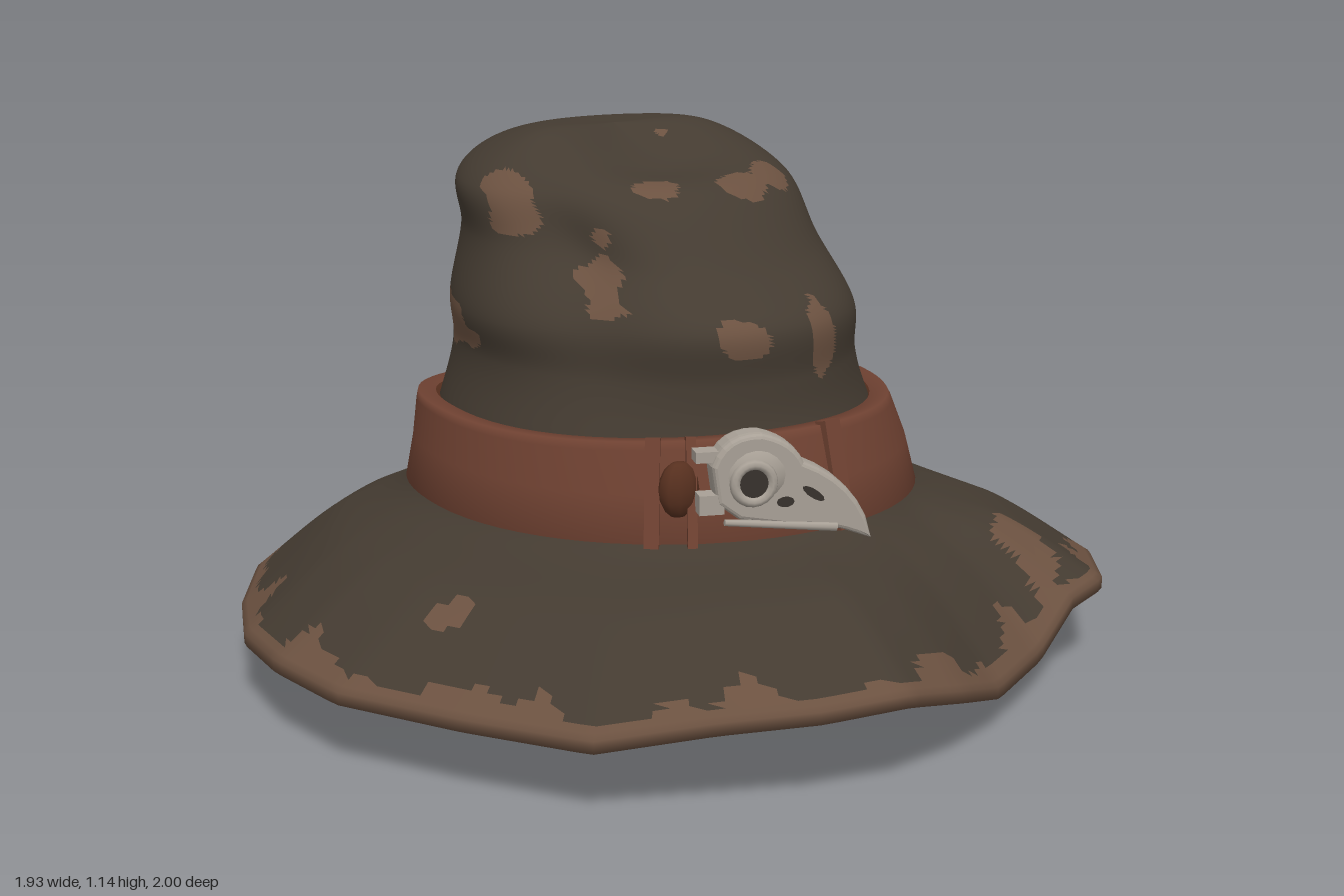
import * as THREE from 'three';

const mat = (name, color, side = THREE.FrontSide) => {
  const m = new THREE.MeshStandardMaterial({ color, side });
  m.name = name;
  return m;
};

// Lower edge of the brim, clockwise seen from above, starting at the front tip
const RIM = [
  [-0.1, 0.19, 1.0], [0.08, 0.14, 0.94], [0.25, 0.08, 0.845], [0.45, 0.085, 0.74], [0.58, 0.16, 0.69],
  [0.7, 0.17, 0.65], [0.89, 0.13, 0.4], [0.95, 0.06, 0.1], [0.96, 0.03, 0], [0.95, 0.01, -0.2],
  [0.88, 0, -0.43], [0.74, 0.02, -0.67], [0.5, 0.07, -0.87], [0.28, 0.09, -0.97], [0.13, 0.1, -1],
  [0, 0.1, -1], [-0.2, 0.05, -0.92], [-0.4, 0.06, -0.85], [-0.55, 0.09, -0.75], [-0.72, 0.1, -0.6],
  [-0.85, 0.1, -0.38], [-0.94, 0.12, -0.15], [-0.97, 0.14, 0.08], [-0.94, 0.14, 0.3], [-0.8, 0.14, 0.55],
  [-0.65, 0.14, 0.77], [-0.45, 0.17, 0.88], [-0.27, 0.18, 0.96],
].map((p) => new THREE.Vector3(...p));

const TAU = Math.PI * 2;
const wrap = (a) => ((a % TAU) + TAU) % TAU;
const angle = (p) => Math.atan2(p.x, p.z);

function rimAt(theta) {
  for (let i = 0; i < RIM.length; i++) {
    const a = RIM[i], b = RIM[(i + 1) % RIM.length];
    const span = wrap(angle(b) - angle(a)), d = wrap(theta - angle(a));
    if (d <= span) return a.clone().lerp(b, d / span);
  }
  return RIM[0].clone();
}

// Oval ring: left x, right x, front z, back z, then height at front, sides and back
function ringPoint([xl, xr, zf, zb, yf, ys, yb], theta, dent = 0) {
  const s = Math.sin(theta), c = Math.cos(theta);
  const pull = 1 - dent * Math.exp(-(((theta + 0.95) / 0.38) ** 2));
  return new THREE.Vector3(
    (xl + xr) / 2 + ((xr - xl) / 2) * s * pull,
    ys + ((c > 0 ? yf : yb) - ys) * c * c,
    (zf + zb) / 2 + ((zf - zb) / 2) * c * pull);
}

// Sweeps a column of points around the hat; pick(point) selects the material index of a face
function loft(column, n, pick = () => 0) {
  const cols = Array.from({ length: n }, (_, j) => column(-Math.PI + (j * TAU) / n));
  const rows = cols[0].length, pos = [], lists = [[], []];
  cols.forEach((col) => col.forEach((p) => pos.push(p.x, p.y, p.z)));
  for (let j = 0; j < n; j++) {
    const k = (j + 1) % n;
    for (let i = 0; i < rows - 1; i++) {
      const quad = [[j, i], [j, i + 1], [k, i + 1], [k, i]];
      for (const t of [[0, 1, 2], [0, 2, 3]]) {
        const mid = new THREE.Vector3();
        t.forEach((v) => mid.addScaledVector(cols[quad[v][0]][quad[v][1]], 1 / 3));
        lists[pick(mid, i)].push(...t.map((v) => quad[v][0] * rows + quad[v][1]));
      }
    }
  }
  const g = new THREE.BufferGeometry();
  g.setAttribute('position', new THREE.Float32BufferAttribute(pos, 3));
  g.setIndex(lists[0].concat(lists[1]));
  g.addGroup(0, lists[0].length, 0);
  g.addGroup(lists[0].length, lists[1].length, 1);
  g.computeVertexNormals();
  return g;
}

// Crown rings from the top down to the brim, with the strength of the side dent
const CROWN = [
  [[-0.02, -0.02, -0.18, -0.18, 1.135, 1.135, 1.135], 0],
  [[-0.24, 0.2, 0.0, -0.33, 1.06, 1.13, 1.13], 0],
  [[-0.38, 0.36, 0.16, -0.48, 1.03, 1.03, 1.08], 0.08],
  [[-0.385, 0.365, 0.32, -0.51, 0.88, 0.92, 0.95], 0.17],
  [[-0.43, 0.405, 0.44, -0.53, 0.79, 0.77, 0.8], 0.1],
  [[-0.415, 0.41, 0.44, -0.55, 0.68, 0.68, 0.66], 0.04],
  [[-0.44, 0.45, 0.455, -0.585, 0.58, 0.57, 0.52], 0],
  [[-0.52, 0.54, 0.54, -0.64, 0.4, 0.385, 0.33], 0],
];

// Worn spots: centre and radii
const SPOTS = [
  [-0.28, 0.93, 0.25, 0.055, 0.12, 0.17], [-0.09, 0.77, 0.43, 0.05, 0.045, 0.1],
  [0.11, 0.76, 0.43, 0.042, 0.09, 0.12], [0.1, 1.02, 0.13, 0.07, 0.05, 0.05],
  [0.21, 1.02, 0.07, 0.06, 0.04, 0.06], [-0.1, 1.03, 0.12, 0.05, 0.05, 0.04],
  [-0.34, 1.0, -0.1, 0.04, 0.07, 0.16], [-0.24, 1.03, -0.43, 0.07, 0.045, 0.06],
  [0.2, 1.06, -0.42, 0.06, 0.03, 0.04], [-0.4, 0.73, -0.24, 0.1, 0.055, 0.15],
  [0.12, 0.82, -0.52, 0.035, 0.1, 0.08], [0.54, 0.27, 0.58, 0.065, 0.15, 0.085],
  [-0.7, 0.28, 0.32, 0.05, 0.12, 0.04], [0.06, 1.12, -0.11, 0.012, 0.05, 0.012],
];

function wornAt(p) {
  const th = angle(p), r = rimAt(th);
  const wave = Math.sin(13 * th + 1) + 0.7 * Math.sin(29 * th) + 0.5 * Math.sin(47 * th + 2);
  if (Math.hypot(p.x - r.x, p.z - r.z) < 0.03 + 0.035 * Math.max(0, wave * 0.8 + 0.3)) return 1;
  const wobble = 1 + 0.4 * Math.sin(38 * p.x + 20 * p.y) * Math.sin(33 * p.z - 27 * p.y + 1);
  return SPOTS.some(([x, y, z, a, b, c]) =>
    ((p.x - x) / a) ** 2 + ((p.y - y) / b) ** 2 + ((p.z - z) / c) ** 2 < wobble) ? 1 : 0;
}

// Outer felt from the crown to the rim, then the lining side back up
function hatColumn(theta) {
  const pts = CROWN.map(([ring, dent]) => ringPoint(ring, theta, dent));
  const rim = rimAt(theta);
  const edge = rim.clone().setY(rim.y + 0.025);
  const mid = pts[7].clone().lerp(edge, 0.5);
  mid.y += 0.025;
  pts.push(mid, edge);
  const inner = pts.map((p, i) => (i === 9 ? rim : new THREE.Vector3(p.x * 0.97, p.y - 0.025, p.z * 0.97)));
  const curve = (list) => new THREE.CatmullRomCurve3(list);
  return [...curve(pts).getPoints(9 * 16), ...curve(inner.reverse()).getPoints(9 * 9)];
}

// Leather band profile, from the inner lip over the top and down the outside
const BAND = [
  [-0.43, 0.44, 0.445, -0.575, 0.56, 0.54, 0.48], [-0.455, 0.455, 0.46, -0.59, 0.592, 0.568, 0.508],
  [-0.495, 0.49, 0.505, -0.628, 0.597, 0.572, 0.512], [-0.5, 0.5, 0.51, -0.63, 0.58, 0.555, 0.495],
  [-0.515, 0.53, 0.535, -0.635, 0.49, 0.475, 0.41], [-0.535, 0.555, 0.555, -0.648, 0.395, 0.38, 0.325],
  [-0.5, 0.52, 0.52, -0.615, 0.385, 0.37, 0.315],
];

function buildSkull(bone, dark) {
  const skull = new THREE.Group();
  skull.name = 'birdSkull';
  const add = (name, geo, material, x, y, z) => {
    const m = new THREE.Mesh(geo, material);
    m.name = name;
    m.position.set(x, y, z);
    skull.add(m);
    return m;
  };
  // Head and hooked beak in one outline
  const s = new THREE.Shape();
  s.moveTo(-0.11, 0.05);
  s.quadraticCurveTo(-0.09, 0.11, -0.02, 0.105);
  s.quadraticCurveTo(0.04, 0.09, 0.06, 0.045);
  s.quadraticCurveTo(0.17, 0.0, 0.2, -0.105);
  s.quadraticCurveTo(0.14, -0.07, 0.04, -0.068);
  s.lineTo(-0.06, -0.05);
  s.lineTo(-0.1, -0.02);
  add('skullBody', new THREE.ExtrudeGeometry(s, {
    depth: 0.03, bevelEnabled: true, bevelThickness: 0.018, bevelSize: 0.01, bevelSegments: 3, curveSegments: 6,
  }), bone, 0, 0, -0.025);
  add('cranium', new THREE.SphereGeometry(0.08, 16, 12), bone, -0.03, 0.03, -0.01).scale.set(1, 0.9, 0.6);
  add('eyeRim', new THREE.TorusGeometry(0.038, 0.011, 8, 20), bone, -0.04, 0.02, 0.036);
  add('eyeSocket', new THREE.CircleGeometry(0.036, 20), dark, -0.04, 0.02, 0.04);
  add('cheekHole', new THREE.CircleGeometry(0.014, 10), dark, 0.025, -0.022, 0.036).scale.set(1.3, 0.8, 1);
  const nostril = add('nostril', new THREE.CircleGeometry(0.018, 10), dark, 0.085, -0.012, 0.025);
  nostril.scale.set(1.5, 0.5, 1);
  nostril.rotation.z = -0.6;
  // Jaw hinge and the bar behind the head
  add('jawHinge', new THREE.BoxGeometry(0.05, 0.04, 0.04), bone, -0.12, -0.025, 0);
  add('headBar', new THREE.BoxGeometry(0.06, 0.022, 0.04), bone, -0.12, 0.07, -0.01);
  const jaw = add('lowerJaw', new THREE.CylinderGeometry(0.007, 0.01, 0.23, 8), bone, 0.02, -0.073, 0.02);
  jaw.rotation.z = Math.PI / 2 - 0.1;
  skull.position.set(-0.11, 0.505, 0.55);
  skull.rotation.y = -0.35;
  return skull;
}

export function createModel() {
  const felt = mat('dark felt', 0x443b31, THREE.DoubleSide);
  const worn = mat('worn felt', 0x6b5140, THREE.DoubleSide);
  const leather = mat('leather', 0x704232);
  const leatherEdge = mat('dark leather', 0x57301f);
  const bone = mat('bone', 0xa8a096, THREE.DoubleSide);
  const dark = mat('socket shadow', 0x37312c);

  const hat = new THREE.Group();
  hat.name = 'hat';
  const add = (name, geo, material) => {
    const m = new THREE.Mesh(geo, material);
    m.name = name;
    hat.add(m);
    return m;
  };

  add('crownAndBrim', loft(hatColumn, 180, wornAt), [felt, worn]);
  add('hatBand', loft((t) => BAND.map((r) => ringPoint(r, t)), 72, (p, i) => (i === 0 || i === 5 ? 1 : 0)),
    [leather, leatherEdge]);

  // Keeper loops across the band, either side of the skull
  for (const [x, w] of [[-0.3, 0.03], [-0.235, 0.02], [0.08, 0.04]]) {
    const theta = Math.asin((x - 0.01) / 0.53);
    const low = ringPoint(BAND[5], theta), high = ringPoint(BAND[2], theta);
    const loop = add('bandLoop', new THREE.BoxGeometry(w, low.distanceTo(high) + 0.015, 0.03), leather);
    loop.position.copy(low).lerp(high, 0.5);
    loop.rotation.set(-Math.atan2(low.z - high.z, high.y - low.y), theta, 0, 'YXZ');
  }
  const knot = add('strapKnot', new THREE.SphereGeometry(0.045, 10, 8), leatherEdge);
  knot.position.set(-0.26, 0.5, 0.455);
  knot.scale.set(1, 1.3, 0.7);

  hat.add(buildSkull(bone, dark));
  return hat;
}
